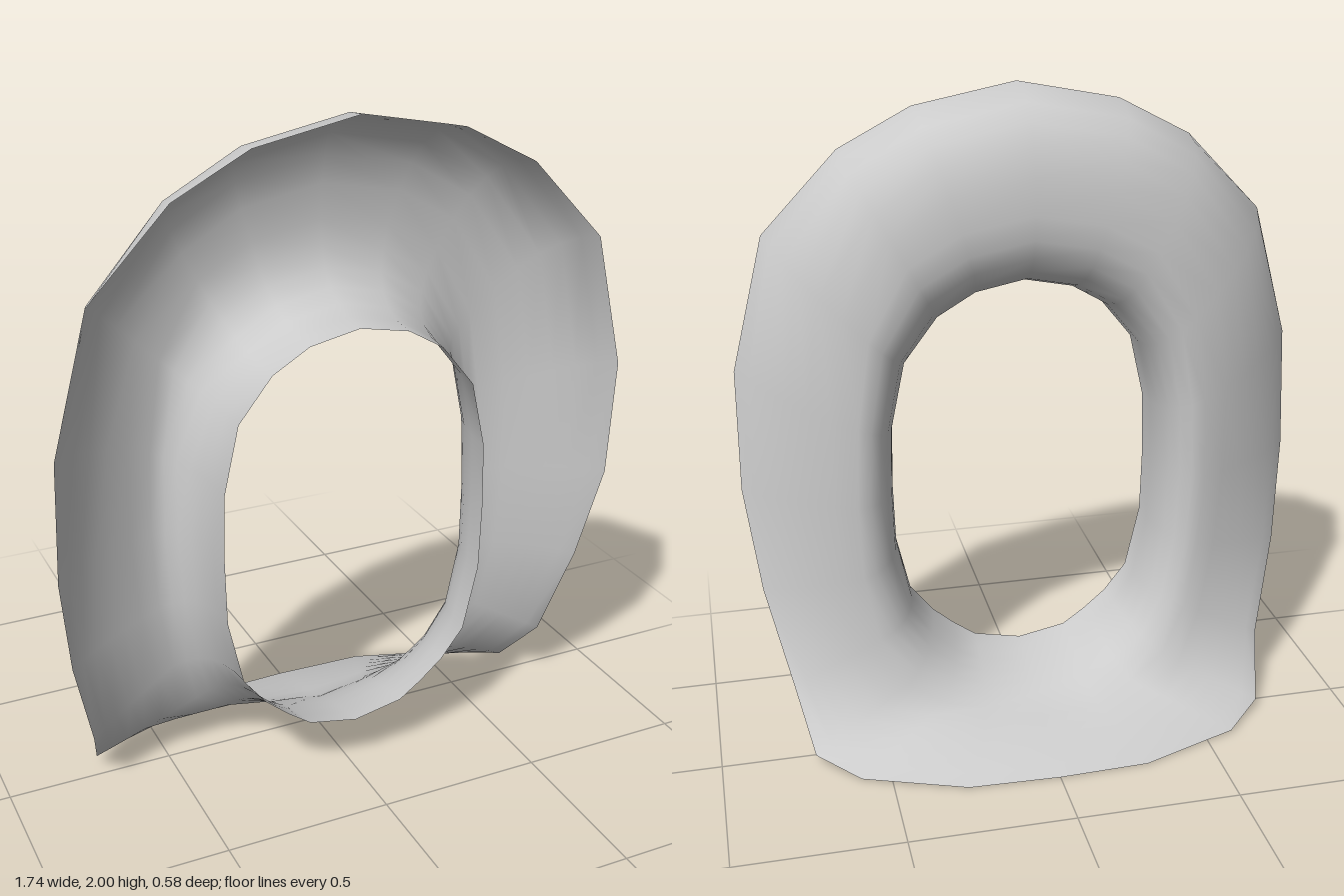
import * as THREE from 'three';

// Half of the ring, from top centre to bottom centre (model's left side).
// inner rim [x, y], ridge [x, y, z], outer rim [x, y, z], inner bulge, outer bulge
const RIM_Z = 0.29;
const STATIONS = [
  [[0, 1.42], [0, 1.66, 0.035], [0, 2, 0.29], 1, 1],
  [[0.15, 1.39], [0.21, 1.62, 0.035], [0.31, 1.94, 0.29], 1, 1],
  [[0.26, 1.325], [0.37, 1.53, 0.035], [0.53, 1.825, 0.29], 1, 0.9],
  [[0.36, 1.2], [0.49, 1.32, 0.035], [0.76, 1.585, 0.29], 1, 0.7],
  [[0.405, 1.0], [0.53, 1.05, 0.04], [0.865, 1.18, 0.28], 1, 0.4],
  [[0.41, 0.8], [0.54, 0.8, 0.05], [0.87, 0.81, 0.25], 1, 0.3],
  [[0.405, 0.6], [0.53, 0.56, 0.06], [0.83, 0.5, 0.18], 1, 0.25],
  [[0.36, 0.4], [0.49, 0.35, 0.05], [0.76, 0.2, 0.1], 0.9, 0.2],
  [[0.29, 0.31], [0.41, 0.2, 0.02], [0.715, 0.03, -0.05], 0.7, 0.1],
  [[0.22, 0.25], [0.3, 0.13, 0], [0.59, 0.005, -0.17], 0.5, 0],
  [[0.15, 0.2], [0.17, 0.1, -0.01], [0.28, 0, -0.28], 0.35, -0.15],
  [[0, 0.17], [0, 0.085, 0], [0, 0, -0.29], 0.3, -0.15],
];

// Curve from the ridge to a rim; bulge 1 is a full quarter round, 0 is straight
function flank(ridge, rim, bulge) {
  const middle = ridge.clone().lerp(rim, 0.5);
  const corner = new THREE.Vector3(rim.x, rim.y, ridge.z);
  return new THREE.QuadraticBezierCurve3(ridge, middle.lerp(corner, bulge), rim).getPoints(6);
}

// Cross-section of the trough, from inner rim over the ridge to outer rim
function section([inner, ridge, outer, innerBulge, outerBulge], side) {
  const point = ([x, y, z = RIM_Z]) => new THREE.Vector3(x * side, y, z);
  const inside = flank(point(ridge), point(inner), innerBulge).reverse();
  return inside.concat(flank(point(ridge), point(outer), outerBulge).slice(1));
}

export function createModel() {
  const group = new THREE.Group();
  group.name = 'hollowRing';

  // Full loop: left half downwards, mirrored half back up
  const loop = STATIONS.map((s) => section(s, 1));
  loop.push(...STATIONS.slice(1, -1).reverse().map((s) => section(s, -1)));

  const positions = [];
  const indices = [];
  const across = loop[0].length;
  loop.forEach((points, i) => {
    points.forEach((p) => positions.push(p.x, p.y, p.z));
    const next = (i + 1) % loop.length;
    for (let j = 0; j < across - 1; j++) {
      const a = i * across + j;
      const b = next * across + j;
      indices.push(a, a + 1, b, b, a + 1, b + 1);
    }
  });

  const geometry = new THREE.BufferGeometry();
  geometry.setAttribute('position', new THREE.Float32BufferAttribute(positions, 3));
  geometry.setIndex(indices);
  geometry.computeVertexNormals();

  // Open shell with a flared lower lip
  const shell = new THREE.Mesh(
    geometry,
    new THREE.MeshStandardMaterial({ color: 0xcccccc, side: THREE.DoubleSide })
  );
  shell.name = 'ringShell';
  group.add(shell);
  return group;
}
